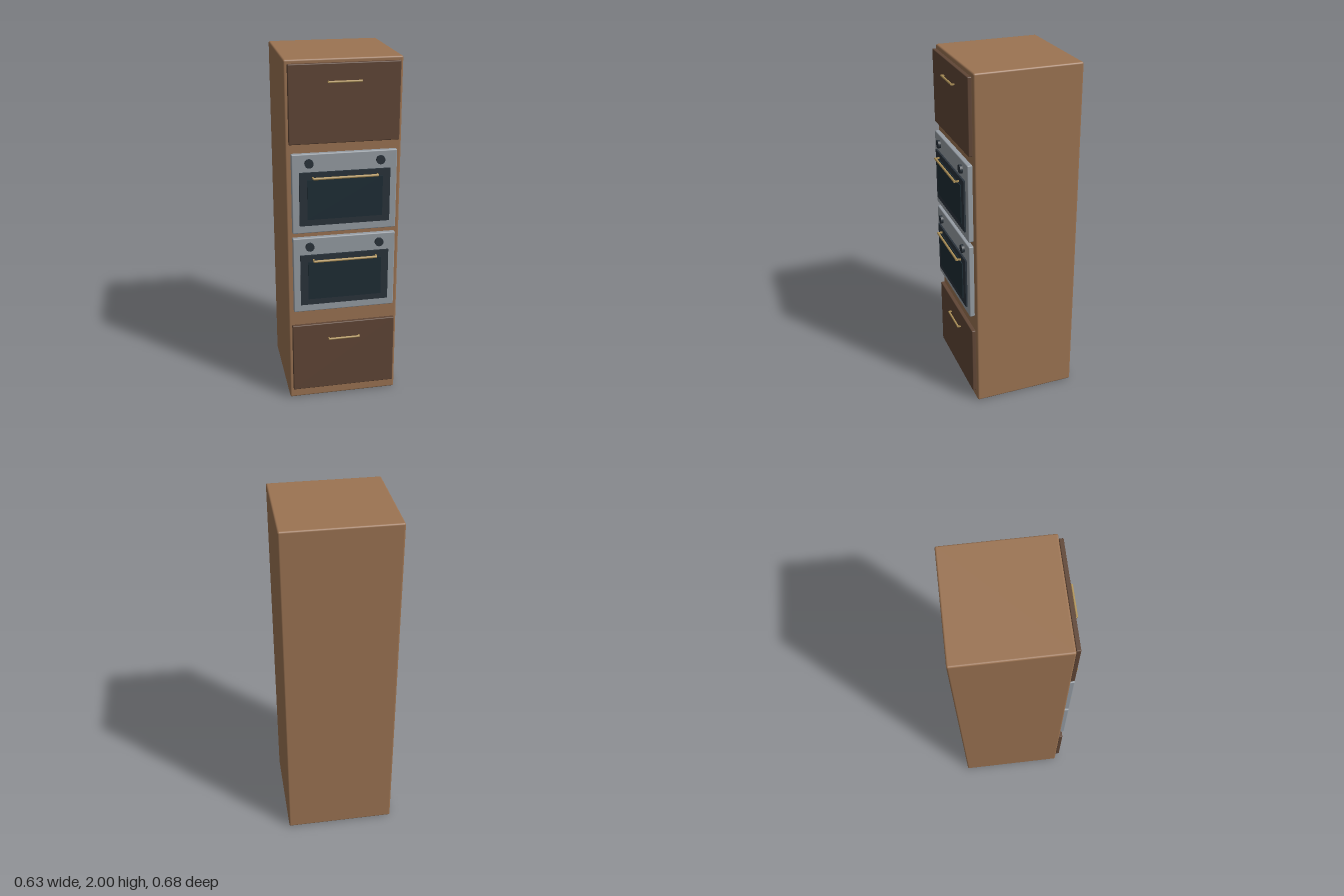
import * as THREE from 'three';
import { RoundedBoxGeometry } from 'three/addons/geometries/RoundedBoxGeometry.js';

const paint = (color) => new THREE.MeshStandardMaterial({ color });

export function createModel() {
  const model = new THREE.Group();
  const wood = paint(0x9b7352), darkWood = paint(0x604636), steel = paint(0x969da4);
  const black = paint(0x2a333b), glass = paint(0x1e2d35), brass = paint(0xb0935a);

  function add(parent, name, geometry, material, x, y, z) {
    const mesh = new THREE.Mesh(geometry, material);
    mesh.name = name;
    mesh.position.set(x, y, z);
    parent.add(mesh);
    return mesh;
  }

  // Rounded slab given by its width, height range and depth range
  function slab(parent, name, material, w, y0, y1, z0, z1, r) {
    const geometry = new RoundedBoxGeometry(w, y1 - y0, z1 - z0, 3, r);
    return add(parent, name, geometry, material, 0, (y0 + y1) / 2, (z0 + z1) / 2);
  }

  // Round bar carried by a short post at each end
  function handle(parent, name, half, y, zBase, zBar, r) {
    const group = new THREE.Group();
    group.name = name;
    add(group, 'handleBar', new THREE.CylinderGeometry(r, r, half * 2, 16), brass, 0, y, zBar)
      .rotation.z = Math.PI / 2;
    for (const side of [-1, 1]) {
      const post = new THREE.BoxGeometry(0.007, r * 1.3, zBar - zBase);
      add(group, 'handlePost', post, brass, side * half, y, (zBase + zBar) / 2);
    }
    parent.add(group);
  }

  // Cabinet body
  slab(model, 'cabinet', wood, 0.632, 0, 2, -0.338, 0.264, 0.01);

  // Lower and upper cupboard fronts
  for (const [name, y0] of [['lowerFront', 0.065], ['upperFront', 1.558]]) {
    const front = new THREE.Group();
    front.name = name;
    slab(front, 'frontPanel', darkWood, 0.596, y0, y0 + 0.422, 0.266, 0.29, 0.005);
    handle(front, 'frontHandle', 0.088, y0 + 0.328, 0.29, 0.306, 0.006);
    model.add(front);
  }

  // Two stacked ovens
  for (const [name, y0] of [['lowerOven', 0.58], ['upperOven', 1.058]]) {
    const oven = new THREE.Group();
    oven.name = name;
    slab(oven, 'ovenFace', steel, 0.576, y0, y0 + 0.449, 0.266, 0.296, 0.006);
    add(oven, 'ovenDoor', new THREE.BoxGeometry(0.498, 0.302, 0.012), black, 0, y0 + 0.198, 0.3);
    add(oven, 'ovenWindow', new THREE.BoxGeometry(0.414, 0.226, 0.008), glass, 0, y0 + 0.196, 0.307);
    handle(oven, 'ovenHandle', 0.176, y0 + 0.321, 0.306, 0.331, 0.007);
    for (const side of [-1, 1]) {
      add(oven, 'knob', new THREE.CylinderGeometry(0.024, 0.024, 0.016, 24), black,
        side * 0.195, y0 + 0.398, 0.303).rotation.x = Math.PI / 2;
    }
    model.add(oven);
  }
  return model;
}
